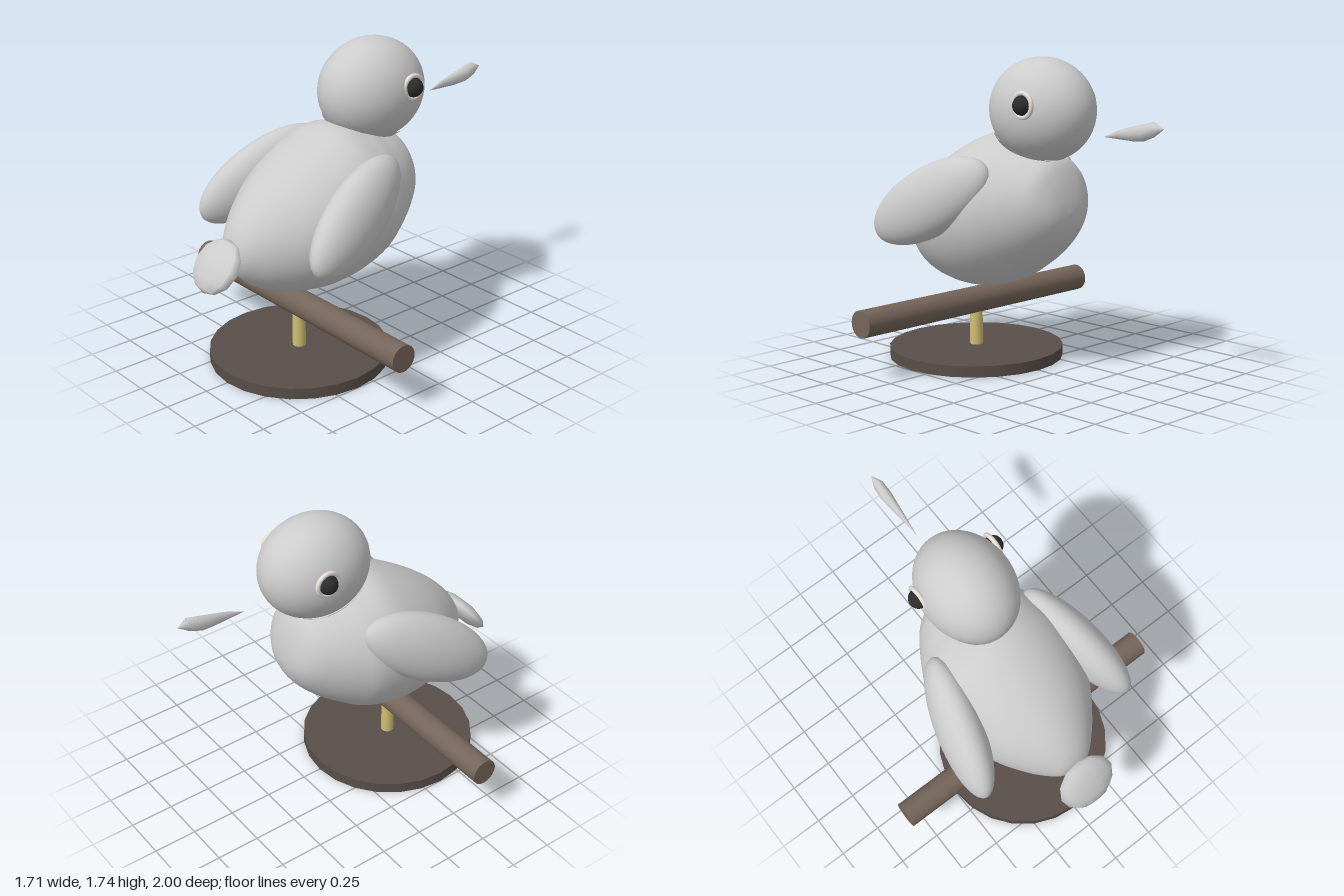
import * as THREE from 'three';

const mat = (color, extra = {}) => new THREE.MeshStandardMaterial({ color, ...extra });

// Closed rings of points joined into a smooth skin.
function skin(rings) {
  const n = rings[0].length, pos = [], index = [];
  rings.forEach(r => r.forEach(p => pos.push(...p)));
  for (let i = 0; i < rings.length - 1; i++) {
    for (let j = 0; j < n; j++) {
      const k = (j + 1) % n, a = i * n + j, b = i * n + k;
      index.push(a, a + n, b, b, a + n, b + n);
    }
  }
  const g = new THREE.BufferGeometry();
  g.setAttribute('position', new THREE.Float32BufferAttribute(pos, 3));
  g.setIndex(index);
  g.computeVertexNormals();
  return g;
}

// Elliptical sections [z, top, bottom, halfWidth], listed from back to front.
function loft(sections, steps, sides) {
  const curve = pick => new THREE.CatmullRomCurve3(sections.map(pick), false, 'catmullrom', 0.5);
  const heights = curve(s => new THREE.Vector3(s[0], s[1], s[2]));
  const widths = curve(s => new THREE.Vector3(s[3], 0, 0));
  const rings = [];
  for (let i = 0; i <= steps; i++) {
    const h = heights.getPoint(i / steps), w = Math.max(0, widths.getPoint(i / steps).x);
    const mid = (h.y + h.z) / 2, half = (h.y - h.z) / 2, ring = [];
    for (let j = 0; j < sides; j++) {
      const t = j / sides * Math.PI * 2;
      ring.push([w * Math.cos(t), mid + half * Math.sin(t), h.x]);
    }
    rings.push(ring);
  }
  return skin(rings);
}

export function createModel() {
  const model = new THREE.Group();
  const grey = mat(0xcccccc);
  const wood = mat(0x75655a), darkWood = mat(0x584e49), brass = mat(0xd0bf72);
  const white = mat(0xe4ded4), black = mat(0x2c2c2c);

  const add = (name, geometry, material, x = 0, y = 0, z = 0) => {
    const mesh = new THREE.Mesh(geometry, material);
    mesh.name = name;
    mesh.position.set(x, y, z);
    model.add(mesh);
    return mesh;
  };

  // Stand
  add('standBase', new THREE.CylinderGeometry(0.5, 0.5, 0.063, 24), darkWood, 0, 0.0315, 0.363);
  add('standPost', new THREE.CylinderGeometry(0.037, 0.037, 0.24, 16), brass, 0, 0.18, 0.363);
  add('perch', new THREE.CylinderGeometry(0.076, 0.076, 1.71, 24), wood, 0, 0.325, 0.363)
    .rotation.z = Math.PI / 2;

  // Plump leaning body
  add('body', loft([
    [0.82, 0.74, 0.74, 0], [0.80, 0.83, 0.66, 0.085], [0.75, 0.92, 0.585, 0.15],
    [0.65, 1.03, 0.51, 0.24], [0.5, 1.145, 0.455, 0.34], [0.32, 1.25, 0.43, 0.40],
    [0.15, 1.315, 0.447, 0.42], [0, 1.295, 0.50, 0.405], [-0.1, 1.265, 0.56, 0.36],
    [-0.2, 1.232, 0.63, 0.30], [-0.285, 1.185, 0.71, 0.235], [-0.335, 1.09, 0.775, 0.17],
    [-0.362, 0.99, 0.84, 0.10], [-0.372, 0.91, 0.91, 0],
  ], 78, 48), grey);

  // Head
  const headSize = new THREE.Vector3(0.257, 0.285, 0.318);
  const headAt = new THREE.Vector3(0, 1.455, -0.162);
  add('head', new THREE.SphereGeometry(1, 48, 32), grey, ...headAt).scale.copy(headSize);

  // Scalloped frill hugging the underside of the head
  const frill = [0, 0.03, 0.06, 0.09].map(drop => Array.from({ length: 160 }, (_, j) => {
    const a = j / 160 * Math.PI * 2;
    const wave = 0.008 * Math.abs(Math.cos(10 * a)) * (1 - drop / 0.09);
    const y = 1.248 + 0.08 * Math.cos(a) + wave - drop;
    const r = 1.02 * Math.sqrt(Math.max(0.02, 1 - ((y - headAt.y) / 0.295) ** 2));
    return [headSize.x * r * Math.sin(a), y, headAt.z + headSize.z * r * Math.cos(a)];
  }));
  add('neckFrill', skin(frill), mat(0xcccccc, { side: THREE.DoubleSide }));

  // Paired wings and eyes
  for (const [side, label] of [[1, 'left'], [-1, 'right']]) {
    const wing = add(label + 'Wing', new THREE.SphereGeometry(1, 40, 28), grey, side * 0.405, 0.95, 0.295);
    wing.scale.set(0.127, 0.193, 0.412);
    wing.rotation.set(0.52, side * 0.227, 0);

    add(label + 'EyeRing', new THREE.TorusGeometry(0.064, 0.013, 12, 32), white, side * 0.243, 1.498, -0.248)
      .rotation.y = Math.PI / 2;
    add(label + 'Eye', new THREE.SphereGeometry(0.054, 24, 16), black, side * 0.243, 1.498, -0.248);
  }

  // Small faceted tail
  const tail = add('tail', new THREE.SphereGeometry(1, 10, 6), grey, 0, 0.706, 0.902);
  tail.scale.set(0.175, 0.155, 0.052);
  tail.rotation.x = -0.65;

  // Slim pointed feather in front of the face
  add('feather', loft([
    [-0.6, 1.342, 1.342, 0], [-0.7, 1.385, 1.338, 0.013], [-0.8, 1.412, 1.335, 0.025],
    [-0.87, 1.428, 1.34, 0.033], [-0.935, 1.445, 1.366, 0.03], [-1, 1.412, 1.412, 0],
  ], 5, 8), grey);

  return model;
}
